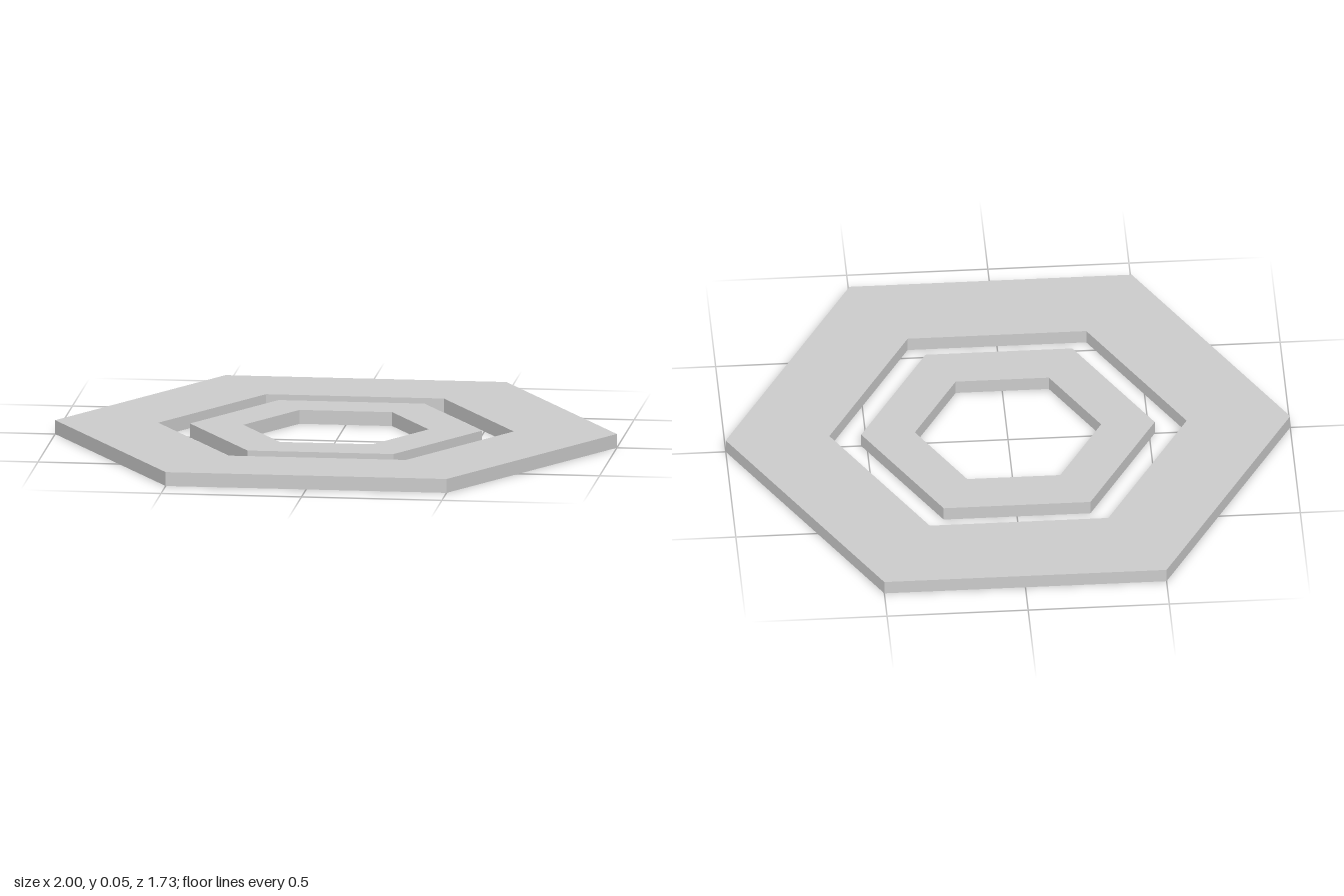
import * as THREE from 'three';

const HEIGHT = 0.05;

// Six corners of a regular hexagon with points on the x axis
function hexPoints(radius) {
  return Array.from({ length: 6 }, (_, i) => {
    const a = (i * Math.PI) / 3;
    return new THREE.Vector2(radius * Math.cos(a), radius * Math.sin(a));
  });
}

// Flat hexagonal ring lying on the ground
function hexRing(name, outer, inner, material) {
  const shape = new THREE.Shape(hexPoints(outer));
  shape.holes.push(new THREE.Path(hexPoints(inner)));
  const geometry = new THREE.ExtrudeGeometry(shape, { depth: HEIGHT, bevelEnabled: false });
  geometry.rotateX(-Math.PI / 2);
  const mesh = new THREE.Mesh(geometry, material);
  mesh.name = name;
  return mesh;
}

export function createModel() {
  const group = new THREE.Group();
  group.name = 'hexagonRings';
  const material = new THREE.MeshStandardMaterial({ color: 0xcccccc, flatShading: true });
  group.add(
    hexRing('outerRing', 1, 0.633, material),
    hexRing('innerRing', 0.52, 0.33, material),
  );
  return group;
}
